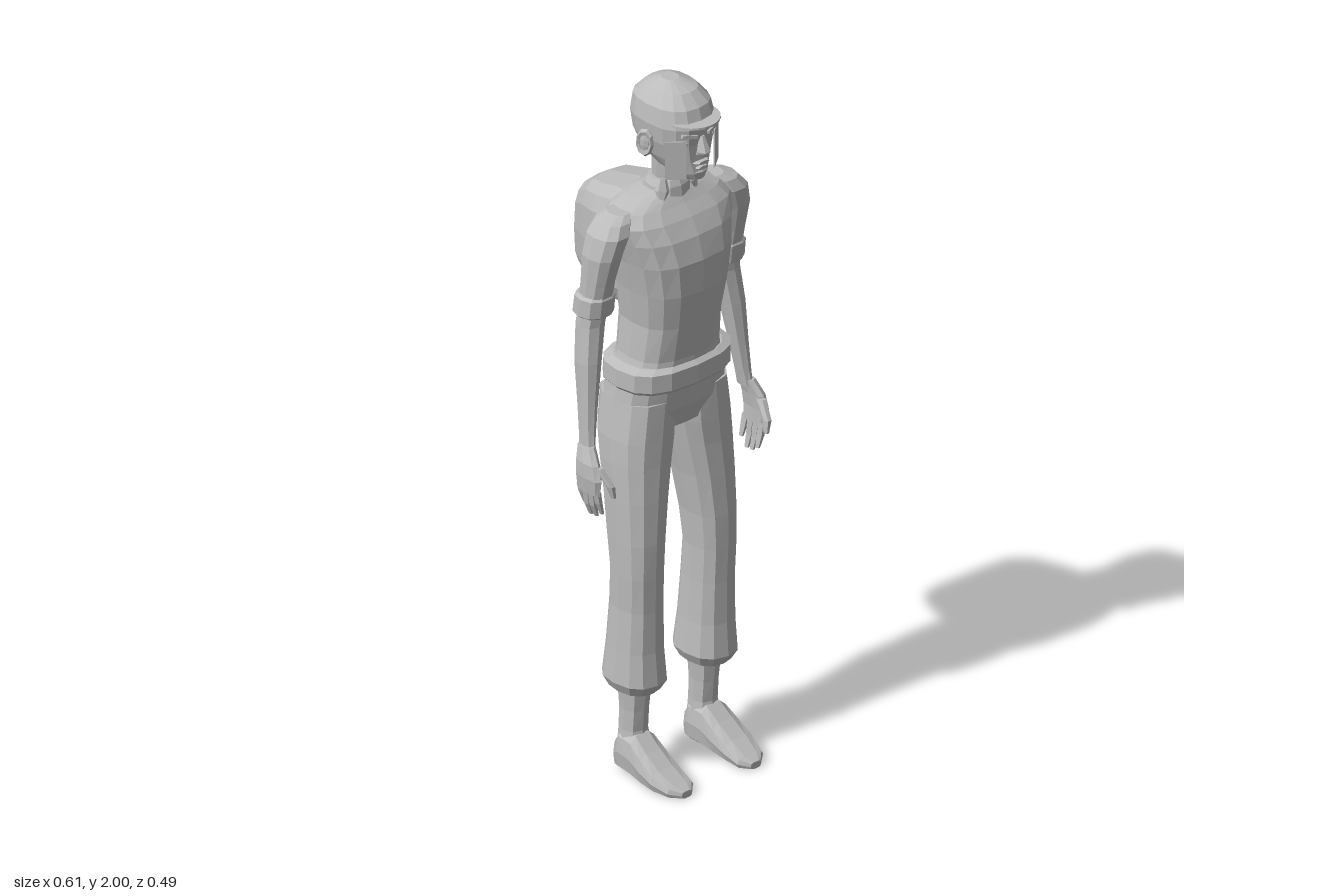
import * as THREE from 'three';

const grey = new THREE.MeshStandardMaterial({ color: 0xbcbcbc });
grey.name = 'plain grey';

// Give every face its own normal for a low-poly look
function part(name, geometry, parent) {
  const geo = geometry.index ? geometry.toNonIndexed() : geometry;
  geo.computeVertexNormals();
  const mesh = new THREE.Mesh(geo, grey);
  mesh.name = name;
  parent.add(mesh);
  return mesh;
}

// Skin rounded sections [y, centreX, centreZ, radiusX, radiusZ], lowest first.
// A smaller power gives a boxier section.
function loft(rings, sides = 10, power = 0.8, side = 1) {
  const pos = [], idx = [];
  const bend = (v) => Math.sign(v) * Math.pow(Math.abs(v), power);
  for (const [y, cx, cz, rx, rz] of rings) {
    for (let j = 0; j < sides; j++) {
      const a = (j / sides) * Math.PI * 2;
      pos.push(side * (cx + side * rx * bend(Math.cos(a))), y, cz + rz * bend(Math.sin(a)));
    }
  }
  for (let i = 0; i < rings.length - 1; i++) {
    for (let j = 0; j < sides; j++) {
      const k = (j + 1) % sides;
      const a = i * sides + j, b = i * sides + k;
      idx.push(a, a + sides, b, b, a + sides, b + sides);
    }
  }
  const last = rings.length - 1, base = rings.length * sides;
  for (const r of [rings[0], rings[last]]) pos.push(side * r[1], r[0], r[2]);
  for (let j = 0; j < sides; j++) {
    const k = (j + 1) % sides;
    idx.push(base, j, k, base + 1, last * sides + k, last * sides + j);
  }
  const geo = new THREE.BufferGeometry();
  geo.setAttribute('position', new THREE.Float32BufferAttribute(pos, 3));
  geo.setIndex(idx);
  return geo;
}

// Skin sections [z, centreX, centreY, radiusX, radiusY] running front to back
function loftZ(rings, sides, power, side) {
  return loft(rings.map(([z, x, y, rx, ry]) => [z, x, -y, rx, ry]), sides, power, side).rotateX(Math.PI / 2);
}

function box(w, h, d, x, y, z) {
  return new THREE.BoxGeometry(w, h, d).translate(x, y, z);
}

function buildHead(parent) {
  const head = new THREE.Group();
  head.name = 'head';
  parent.add(head);
  part('skull', loft([
    [1.745, 0, 0.125, 0.028, 0.04], [1.765, 0, 0.09, 0.05, 0.08], [1.80, 0, 0.067, 0.07, 0.1],
    [1.85, 0, 0.057, 0.086, 0.112], [1.90, 0, 0.056, 0.092, 0.118], [1.95, 0, 0.052, 0.085, 0.106],
    [1.982, 0, 0.05, 0.06, 0.073], [2.0, 0, 0.045, 0.022, 0.025],
  ], 16, 0.82), head);
  part('neck', loft([[1.64, 0, 0.03, 0.045, 0.045], [1.70, 0, 0.035, 0.038, 0.037], [1.79, 0, 0.045, 0.045, 0.045]]), head);
  // Cap brim: a thin half oval
  const oval = new THREE.Shape().absellipse(0, 0, 0.075, 0.075, 0, Math.PI, false);
  const brim = new THREE.ExtrudeGeometry(oval, { depth: 0.006, bevelEnabled: false, curveSegments: 6 });
  part('capBrim', brim.rotateX(Math.PI / 2).translate(0, 1.918, 0.13), head);
  // Face
  part('nose', loft([[1.822, 0, 0.167, 0.018, 0.018], [1.832, 0, 0.173, 0.018, 0.024], [1.875, 0, 0.163, 0.008, 0.014]], 6, 1), head);
  part('upperLip', loftZ([[0.15, 0, 1.796, 0.035, 0.007], [0.178, 0, 1.798, 0.018, 0.005]], 8, 1), head);
  part('lowerLip', loftZ([[0.15, 0, 1.782, 0.028, 0.007], [0.175, 0, 1.782, 0.015, 0.005]], 8, 1), head);
  part('chin', loft([[1.745, 0, 0.14, 0.024, 0.026], [1.768, 0, 0.148, 0.026, 0.025], [1.78, 0, 0.145, 0.02, 0.02]], 8), head);
  for (const s of [1, -1]) {
    const brow = part('brow', new THREE.BoxGeometry(0.044, 0.009, 0.016), head);
    brow.position.set(s * 0.038, 1.882, 0.162);
    brow.rotation.set(0, s * 0.3, s * 0.2);
    const eye = part('eye', new THREE.SphereGeometry(0.016, 8, 5).scale(1, 0.5, 0.5), head);
    eye.position.set(s * 0.037, 1.858, 0.155);
    eye.rotation.z = s * 0.2;
    const plate = part('cheekPlate', new THREE.BoxGeometry(0.056, 0.11, 0.004), head);
    plate.position.set(s * 0.07, 1.815, 0.145);
    plate.rotation.y = s * 0.68;
    // Ear: rim round a flat inner disc
    const ear = new THREE.Group();
    ear.name = 'ear';
    ear.position.set(s * 0.099, 1.845, 0.058);
    ear.rotation.set(0.12, s * (Math.PI / 2 - 0.35), 0);
    head.add(ear);
    part('earRim', new THREE.TorusGeometry(0.025, 0.008, 5, 9).scale(0.8, 1.3, 1), ear);
    part('earInner', new THREE.SphereGeometry(0.022, 8, 5).scale(0.8, 1.3, 0.3), ear);
  }
}

function buildArm(s, parent) {
  const arm = new THREE.Group();
  arm.name = s > 0 ? 'leftArm' : 'rightArm';
  parent.add(arm);
  part('sleeve', loft([
    [1.38, 0.226, 0.002, 0.041, 0.042], [1.47, 0.226, 0.018, 0.041, 0.046], [1.55, 0.221, 0.03, 0.048, 0.055],
    [1.61, 0.203, 0.034, 0.052, 0.06], [1.64, 0.185, 0.03, 0.045, 0.05], [1.655, 0.16, 0.025, 0.03, 0.035],
  ], 10, 0.85, s), arm);
  part('sleeveCuff', loft([[1.37, 0.227, 0.001, 0.046, 0.046], [1.375, 0.227, 0.001, 0.052, 0.051], [1.425, 0.227, 0.007, 0.051, 0.051], [1.432, 0.227, 0.008, 0.043, 0.046]], 10, 0.85, s), arm);
  part('forearm', loft([
    [0.99, 0.275, 0.03, 0.014, 0.027], [1.04, 0.27, 0.026, 0.018, 0.025], [1.12, 0.262, 0.018, 0.024, 0.028],
    [1.24, 0.25, 0.006, 0.033, 0.036], [1.34, 0.235, -0.002, 0.037, 0.037], [1.40, 0.227, 0.003, 0.038, 0.038],
  ], 8, 0.9, s), arm);
  part('palm', loft([
    [0.885, 0.288, 0.052, 0.012, 0.043], [0.93, 0.291, 0.055, 0.015, 0.048],
    [0.97, 0.288, 0.048, 0.017, 0.041], [1.01, 0.278, 0.032, 0.016, 0.027],
  ], 8, 0.75, s), arm);
  // Curled fingers, then the thumb
  for (let i = 0; i < 4; i++) {
    const z = 0.02 + i * 0.021, tip = [0.835, 0.81, 0.812, 0.825][i];
    part('finger', loft([[tip, 0.271, z, 0.005, 0.007], [tip + 0.035, 0.282, z, 0.009, 0.0105], [0.895, 0.288, z, 0.01, 0.011]], 6, 0.8, s), arm);
  }
  part('thumb', loft([[0.885, 0.266, 0.122, 0.006, 0.008], [0.92, 0.272, 0.117, 0.01, 0.014], [0.965, 0.283, 0.08, 0.012, 0.018]], 6, 0.8, s), arm);
}

function buildLeg(s, parent) {
  const leg = new THREE.Group();
  leg.name = s > 0 ? 'leftLeg' : 'rightLeg';
  parent.add(leg);
  part('trouserLeg', loft([
    [0.255, 0.123, 0.044, 0.058, 0.072], [0.285, 0.123, 0.045, 0.073, 0.09], [0.38, 0.124, 0.048, 0.066, 0.08],
    [0.5, 0.124, 0.053, 0.061, 0.075], [0.6, 0.126, 0.058, 0.062, 0.073], [0.7, 0.124, 0.052, 0.066, 0.081],
    [0.82, 0.116, 0.042, 0.075, 0.088], [0.92, 0.106, 0.03, 0.085, 0.096], [0.99, 0.098, 0.022, 0.09, 0.104], [1.1, 0.088, 0.02, 0.085, 0.106],
  ], 12, 0.82, s), leg);
  part('ankle', loft([[0.07, 0.121, 0.042, 0.042, 0.045], [0.13, 0.121, 0.038, 0.036, 0.037], [0.19, 0.121, 0.041, 0.035, 0.039], [0.28, 0.121, 0.043, 0.041, 0.047]], 8, 0.85, s), leg);
  part('foot', loftZ([
    [-0.003, 0.122, 0.045, 0.032, 0.045], [0.02, 0.122, 0.062, 0.043, 0.062], [0.075, 0.124, 0.062, 0.048, 0.062],
    [0.12, 0.126, 0.045, 0.052, 0.045], [0.17, 0.127, 0.029, 0.053, 0.029], [0.22, 0.122, 0.016, 0.045, 0.016], [0.245, 0.12, 0.01, 0.018, 0.01],
  ], 10, 0.65, s), leg);
}

export function createModel() {
  const model = new THREE.Group();
  model.name = 'walker';
  buildHead(model);

  part('shirt', loft([
    [1.17, 0, 0.035, 0.152, 0.108], [1.22, 0, 0.037, 0.138, 0.105], [1.32, 0, 0.045, 0.13, 0.112],
    [1.42, 0, 0.05, 0.143, 0.124], [1.51, 0, 0.05, 0.16, 0.125], [1.575, 0, 0.042, 0.178, 0.115],
    [1.62, 0, 0.03, 0.192, 0.1], [1.65, 0, 0.022, 0.168, 0.082], [1.672, 0, 0.02, 0.11, 0.068], [1.685, 0, 0.025, 0.062, 0.052],
  ], 16, 0.75), model);
  part('shirtHem', loft([
    [1.135, 0, 0.032, 0.168, 0.117], [1.145, 0, 0.032, 0.177, 0.124], [1.195, 0, 0.034, 0.177, 0.122], [1.205, 0, 0.035, 0.15, 0.108],
  ], 16, 0.75), model);
  part('hips', loft([
    [0.985, 0, 0.015, 0.06, 0.06], [1.01, 0, 0.018, 0.15, 0.093], [1.07, 0, 0.02, 0.177, 0.109], [1.16, 0, 0.03, 0.166, 0.108],
  ], 16, 0.75), model);

  // Collar with two pointed flaps
  part('collar', loft([[1.66, 0, 0.034, 0.066, 0.06], [1.695, 0, 0.034, 0.06, 0.055], [1.712, 0, 0.033, 0.05, 0.047]], 12, 0.9), model);
  for (const s of [1, -1]) {
    const flap = part('collarFlap', loft([[-0.035, 0, 0, 0.005, 0.005], [0, 0, 0, 0.019, 0.008], [0.034, 0, 0, 0.01, 0.006]], 6, 0.8), model);
    flap.position.set(s * 0.054, 1.692, 0.075);
    flap.rotation.set(-0.3, s * 0.6, s * 0.25);
    buildArm(s, model);
    buildLeg(s, model);
  }

  part('backpack', loftZ([
    [-0.245, 0, 1.472, 0.066, 0.092], [-0.232, 0, 1.474, 0.085, 0.128], [-0.19, 0, 1.478, 0.102, 0.153],
    [-0.135, 0, 1.478, 0.118, 0.165], [-0.08, 0, 1.483, 0.125, 0.175], [-0.02, 0, 1.487, 0.13, 0.17],
  ], 16, 0.6), model);
  return model;
}
